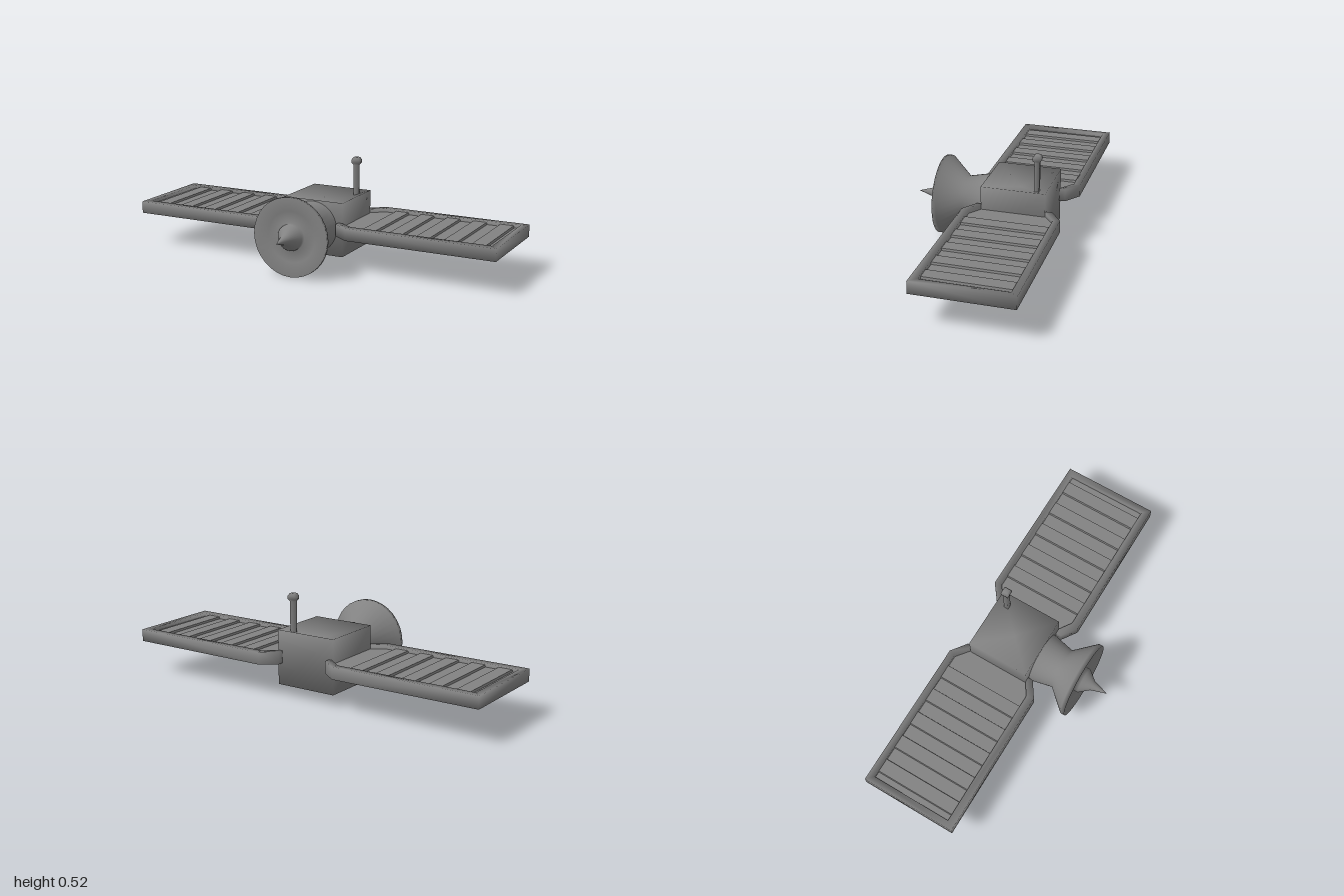
import * as THREE from 'three';
import { mergeVertices } from 'three/addons/utils/BufferGeometryUtils.js';

const AXIS_Y = 0.203; // height of the dish axis

function makeMesh(name, geometry, side = THREE.FrontSide) {
  const mesh = new THREE.Mesh(geometry, new THREE.MeshStandardMaterial({ color: 0x828282, side }));
  mesh.name = name;
  return mesh;
}

// Share the corner vertices so that shading runs softly over the edges
function softened(geometry) {
  geometry.deleteAttribute('normal');
  geometry.deleteAttribute('uv');
  const merged = mergeVertices(geometry, 1e-4);
  merged.computeVertexNormals();
  return merged;
}

// Slab from an outline of [x, z] points seen from above
function slabGeometry(outline, bottom, top) {
  const shape = new THREE.Shape(outline.map(([x, z]) => new THREE.Vector2(x, -z)));
  const geometry = new THREE.ExtrudeGeometry(shape, { depth: top - bottom, bevelEnabled: false });
  geometry.rotateX(-Math.PI / 2);
  geometry.translate(0, bottom, 0);
  return geometry;
}

// Box hull whose top and bottom dip to a shallow point, softly shaded
function bodyGeometry() {
  const w = 0.165, back = -0.31, front = 0.018, low = 0.062, high = 0.342, dip = 0.05;
  const midZ = (back + front) / 2;
  const positions = [], normals = [], index = [];
  const n = 1 / Math.sqrt(3);
  for (const [y, ny] of [[low, -n], [high, n]]) {
    for (const [sx, sz] of [[-1, 1], [1, 1], [1, -1], [-1, -1]]) {
      positions.push(sx * w, y, sz > 0 ? front : back);
      normals.push(sx * n, ny, sz * n);
    }
  }
  positions.push(0, low + dip, midZ, 0, high - dip, midZ);
  normals.push(0, -1, 0, 0, 1, 0);
  for (let i = 0; i < 4; i++) {
    const j = (i + 1) % 4;
    index.push(i, j, j + 4, i, j + 4, i + 4); // side wall
    index.push(i + 4, j + 4, 9);              // top dip
    index.push(j, i, 8);                      // bottom dip
  }
  const geometry = new THREE.BufferGeometry();
  geometry.setAttribute('position', new THREE.Float32BufferAttribute(positions, 3));
  geometry.setAttribute('normal', new THREE.Float32BufferAttribute(normals, 3));
  geometry.setIndex(index);
  return geometry;
}

// Neck, flared dish with a shallow face, and central spike in one turning
function makeDish() {
  const profile = [
    [0.134, 0.012], [0.107, 0.137], [0.202, 0.243], [0.202, 0.265],
    [0.13, 0.248], [0.068, 0.242], [0.067, 0.265], [0.026, 0.315], [0, 0.4],
  ];
  const geometry = new THREE.LatheGeometry(profile.map(([r, z]) => new THREE.Vector2(r, z)), 32);
  geometry.rotateX(Math.PI / 2);
  const dish = makeMesh('dish', geometry, THREE.DoubleSide);
  dish.position.y = AXIS_Y;
  return dish;
}

// Slab with five strips standing out above and below
function panelGeometry() {
  const upper = [[0.2, 0.22]];
  for (let i = 0; i < 5; i++) {
    const x = 0.29 + i * 0.1425;
    upper.push([x - 0.003, 0.22], [x, 0.231], [x + 0.07, 0.231], [x + 0.073, 0.22]);
  }
  upper.push([0.975, 0.22]);
  const lower = upper.map(([x, y]) => [x, 0.414 - y]).reverse();
  const shape = new THREE.Shape([...upper, ...lower].map(([x, y]) => new THREE.Vector2(x, y)));
  const geometry = new THREE.ExtrudeGeometry(shape, { depth: 0.43, bevelEnabled: false });
  geometry.translate(0, 0, -0.368);
  return geometry;
}

function makeWing(name) {
  const wing = new THREE.Group();
  wing.name = name;
  // U-shaped frame with its two arms bent in to the body
  const frame = [
    [0.14, 0.045], [0.22, 0.1], [1, 0.1], [1, -0.4], [0.22, -0.4], [0.14, -0.34],
    [0.14, -0.295], [0.23, -0.365], [0.965, -0.365], [0.965, 0.06], [0.23, 0.06], [0.14, 0],
  ];
  // Plain sheet filling the tapered gap next to the body
  const root = [[0.145, 0.01], [0.23, 0.07], [0.23, -0.37], [0.145, -0.31]];
  wing.add(
    makeMesh('wingFrame', softened(slabGeometry(frame, 0.175, 0.238))),
    makeMesh('wingRoot', slabGeometry(root, 0.1945, 0.2195)),
    makeMesh('solarPanel', panelGeometry()),
  );
  return wing;
}

export function createModel() {
  const model = new THREE.Group();
  model.name = 'satellite';
  model.add(makeMesh('body', bodyGeometry()), makeDish());

  // Mirrored pair of wings
  const leftWing = makeWing('leftWing');
  const rightWing = makeWing('rightWing');
  rightWing.scale.x = -1;
  model.add(leftWing, rightWing);

  // Square mast with a chamfered knob
  const mastProfile = [[0.012, 0.29], [0.012, 0.483], [0.02, 0.494], [0.02, 0.511], [0.013, 0.523], [0, 0.523]];
  const mast = makeMesh('antenna', new THREE.LatheGeometry(
    mastProfile.map(([r, y]) => new THREE.Vector2(r * Math.SQRT2, y)), 4, Math.PI / 4));
  mast.position.set(0.11, 0, -0.255);
  model.add(mast);

  return model;
}
